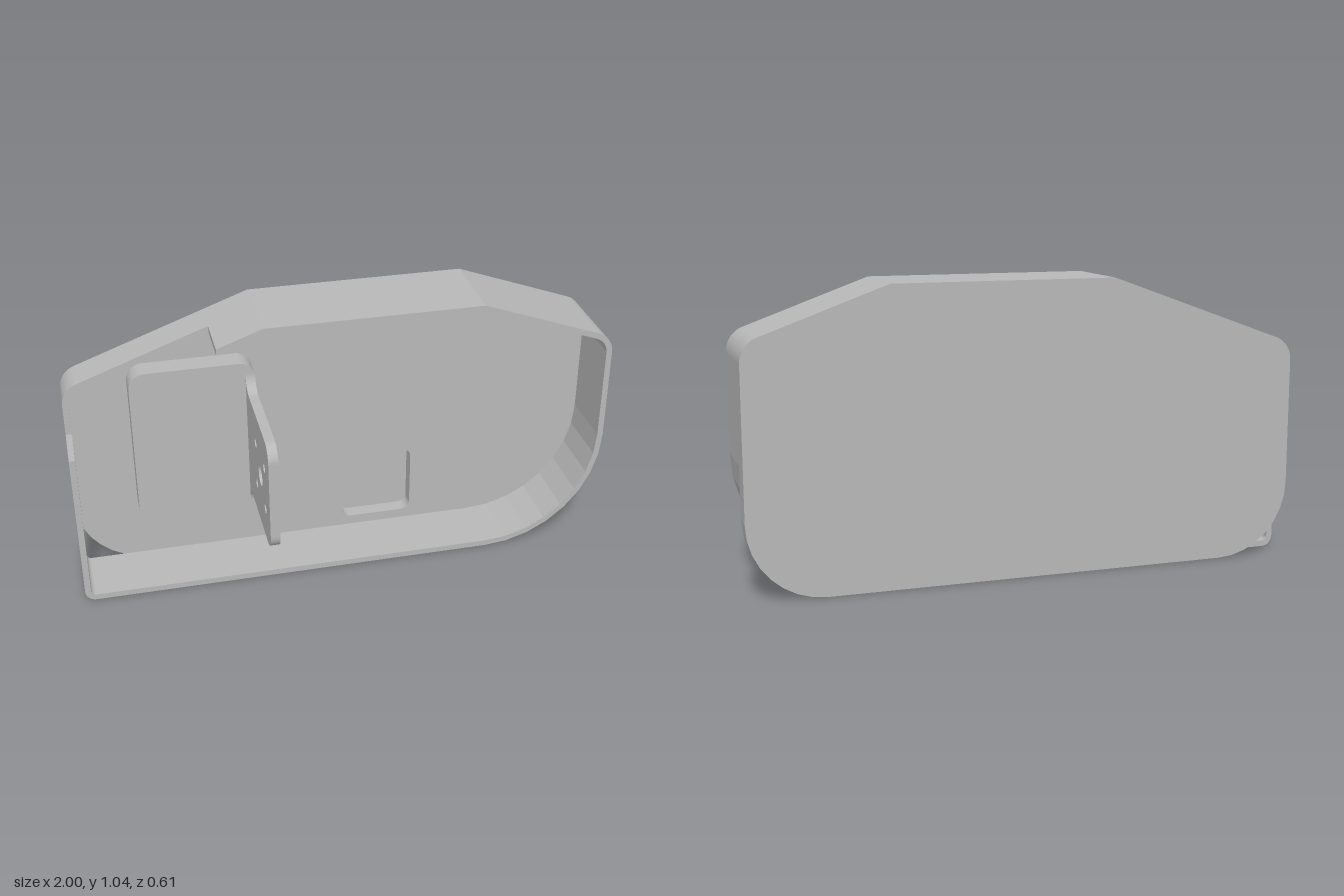
import * as THREE from 'three';

const SLOPE = Math.tan(Math.PI / 9);  // roof slopes of 20 degrees
const WALL = 0.022;                   // rim thickness
const TOP = 1.045;

// Samples a polygon of [x, y, radius, segments] corners, rounding each one
function rounded(corners) {
  const out = [];
  const n = corners.length;
  corners.forEach(([x, y, r = 0, segments = 10], i) => {
    const p = new THREE.Vector2(x, y);
    if (!r) { out.push(p); return; }
    const [px, py] = corners[(i + n - 1) % n];
    const [nx, ny] = corners[(i + 1) % n];
    const a = new THREE.Vector2(px, py).sub(p).normalize();
    const b = new THREE.Vector2(nx, ny).sub(p).normalize();
    const half = Math.acos(a.dot(b)) / 2;
    const c = a.clone().add(b).normalize().multiplyScalar(r / Math.sin(half)).add(p);
    const t = r / Math.tan(half);
    const s = p.clone().addScaledVector(a, t).sub(c).angle();
    let d = p.clone().addScaledVector(b, t).sub(c).angle() - s;
    d = Math.atan2(Math.sin(d), Math.cos(d));
    for (let k = 0; k <= segments; k++) {
      const g = s + d * k / segments;
      out.push(new THREE.Vector2(c.x + r * Math.cos(g), c.y + r * Math.sin(g)));
    }
  });
  return out;
}

function rect(x0, x1, y0, y1, r) {
  return rounded([[x0, y0, r], [x1, y0, r], [x1, y1, r], [x0, y1, r]]);
}

// Housing outline, counter-clockwise from the bottom corner at -x, inset by t
function outline(t, leftRadius, rightRadius) {
  const k = t * (1 / Math.cos(Math.PI / 9) - SLOPE); // shift of the side corners
  const m = t * Math.tan(Math.PI / 18);              // shift of the ridge corners
  const sideY = (run) => TOP - run * SLOPE - k;
  return [
    [-1 + t, t, leftRadius - t, 8],
    [1 - t, t, rightRadius - t, 8],
    [1 - t, sideY(0.5), 0.09 - t, 20],
    [0.5 - m, TOP - t],
    [-0.3 + m, TOP - t],
    [-1 + t, sideY(0.7), 0.09 - t, 20],
  ];
}

// Rim path left open by the notch in the upper corner at -x
function openPath(t) {
  const ring = outline(t, 0.04, 0.45).slice(0, 5);
  const cutY = TOP - 0.165 * SLOPE - t / Math.cos(Math.PI / 9);
  return rounded([[-1 + t, 0.61], ...ring, [-0.465, cutY]]);
}

function extrude(points, z0, z1, holes = []) {
  const shape = new THREE.Shape(points);
  shape.holes = holes.map((h) => new THREE.Path(h));
  const geo = new THREE.ExtrudeGeometry(shape, { depth: z1 - z0, bevelEnabled: false });
  return geo.translate(0, 0, z0);
}

function circle(x, y, r) {
  return new THREE.Path().absarc(x, y, r, 0, Math.PI * 2, true).getPoints(16).slice(0, -1);
}

export function createModel() {
  const group = new THREE.Group();
  const grey = new THREE.MeshStandardMaterial({ color: 0xb8b8b8 });
  grey.name = 'plain grey';
  const add = (name, geo) => {
    const mesh = new THREE.Mesh(geo, grey);
    mesh.name = name;
    group.add(mesh);
  };

  // Thick back plate with a shallow square pocket in its front
  const plate = rounded(outline(0, 0.27, 0.27));
  add('backPlate', extrude(plate, -0.305, -0.27));
  add('pocketLayer', extrude(plate, -0.27, -0.215, [rect(0.03, 0.305, 0.06, 0.34, 0.035)]));

  // Thin rim: a closed band at the back, then a band with the corner notch
  add('rimBase', extrude(rounded(outline(0, 0.04, 0.45)), -0.215, -0.165,
    [rounded(outline(WALL, 0.04, 0.45))]));
  add('notchedRim', extrude([...openPath(0), ...openPath(WALL).reverse()], -0.165, 0.02));

  // Mounting pad on the back plate
  add('mountingPad', extrude(rect(-0.765, -0.31, 0.21, 0.84, 0.06), -0.215, -0.13));

  // Upright bracket with root fillets and a five-hole pattern, drawn in (z, y)
  const profile = rounded([
    [-0.13, 0.25], [-0.13, 0.315, 0.06], [0.305, 0.315, 0.06],
    [0.305, 0.735, 0.06], [-0.13, 0.735, 0.06], [-0.13, 0.8],
  ]);
  const holes = [circle(0.128, 0.525, 0.038)];
  for (const z of [0.043, 0.213]) {
    for (const y of [0.44, 0.61]) holes.push(circle(z, y, 0.018));
  }
  const bracket = extrude(profile, 0, 0.035, holes);
  bracket.rotateY(-Math.PI / 2).translate(-0.31, 0, 0);
  add('uprightBracket', bracket);

  return group;
}
